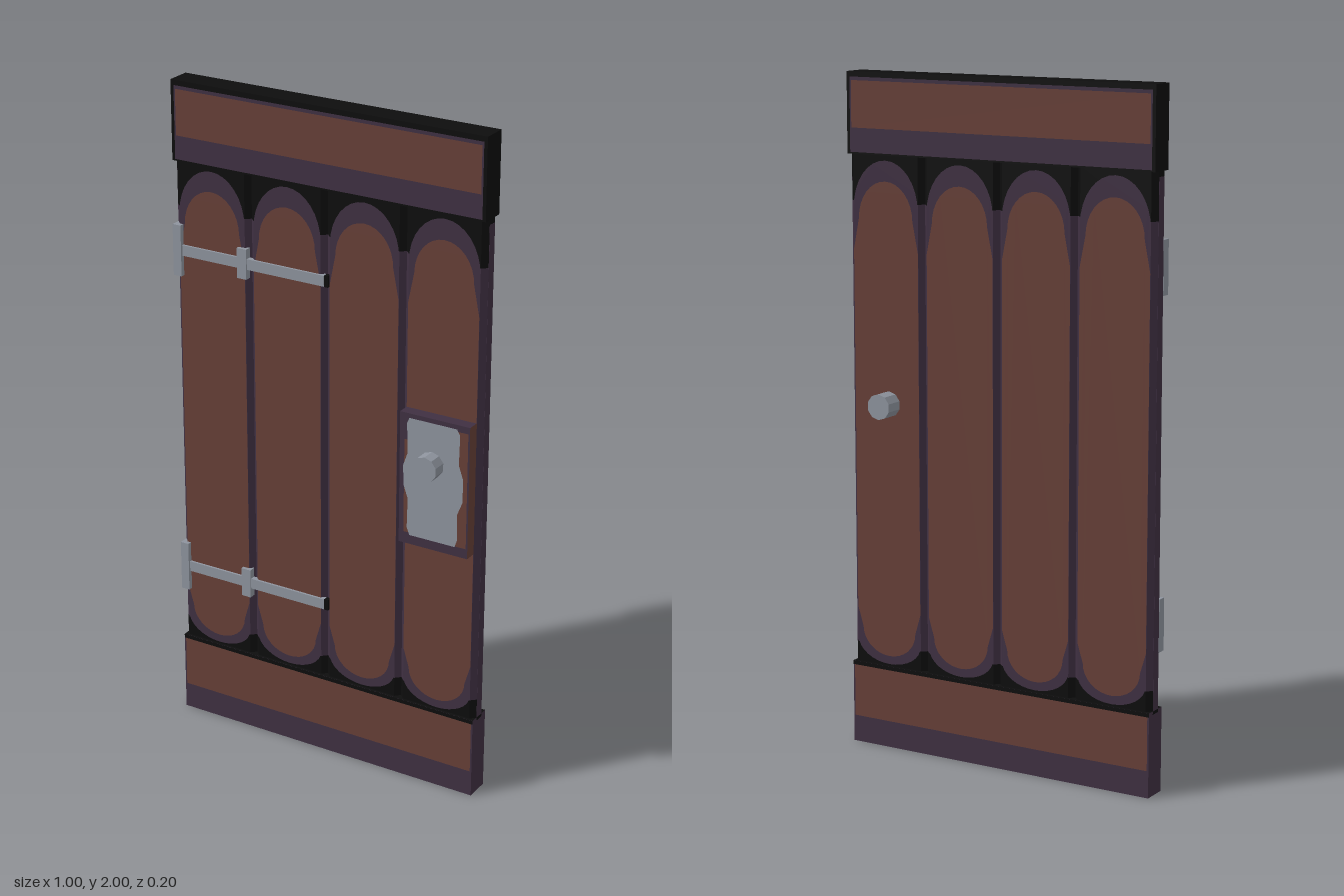
import * as THREE from 'three';

const mat = (name, color) => {
  const m = new THREE.MeshStandardMaterial({ color });
  m.name = name;
  return m;
};

export function createModel() {
  const brown = mat('wood brown', 0x663f37);
  const purple = mat('dark wood purple', 0x3f3042);
  const black = mat('shadow black', 0x0d0d0d);
  const grey = mat('iron grey', 0x8e949e);

  const door = new THREE.Group();
  door.name = 'door';
  const ZC = -0.0115; // middle of the door's thickness
  const PLANK = 0.03, RAIL = 0.0375; // half depths

  const add = (parent, name, geo, material) => {
    const m = new THREE.Mesh(geo, material);
    m.name = name;
    parent.add(m);
    return m;
  };
  // Box given by its limits
  const box = (parent, name, x0, x1, y0, y1, z0, z1, material) => {
    const m = add(parent, name, new THREE.BoxGeometry(x1 - x0, y1 - y0, z1 - z0), material);
    m.position.set((x0 + x1) / 2, (y0 + y1) / 2, (z0 + z1) / 2);
    return m;
  };
  const flat = (parent, name, pts, z, material) => {
    const shape = new THREE.Shape(pts.map(([x, y]) => new THREE.Vector2(x, y)));
    const m = add(parent, name, new THREE.ShapeGeometry(shape), material);
    m.position.z = z;
    return m;
  };
  const rect = (x0, x1, y0, y1) => [[x0, y0], [x1, y0], [x1, y1], [x0, y1]];

  const body = new THREE.Group();
  body.name = 'doorBody';
  body.position.z = ZC;
  door.add(body);
  const faces = new THREE.Group();
  faces.name = 'frontFaces';

  // Chamfered plank section, extruded upwards
  const section = new THREE.Shape([
    [-0.125, -0.015], [-0.11, -PLANK], [0.11, -PLANK], [0.125, -0.015],
    [0.125, 0.015], [0.11, PLANK], [-0.11, PLANK], [-0.125, 0.015],
  ].map(([x, y]) => new THREE.Vector2(x, y)));

  // Outline with a half ellipse at each end
  const capsule = (cx, w, yb, hb, yt, ht, shoulder = 0) => {
    const pts = [];
    const wi = w - shoulder;
    for (let i = 0; i <= 16; i++) {
      const a = Math.PI * i / 16;
      pts.push([cx + wi * Math.cos(a), yt - ht + ht * Math.sin(a)]);
    }
    if (shoulder) pts.push([cx - w, yt - ht - 0.09], [cx - w, yb + hb + 0.06]);
    for (let i = 0; i <= 16; i++) {
      const a = Math.PI * (1 + i / 16);
      pts.push([cx + wi * Math.cos(a), yb + hb + hb * Math.sin(a)]);
    }
    if (shoulder) pts.push([cx + w, yb + hb + 0.06], [cx + w, yt - ht - 0.09]);
    return pts;
  };

  // Four planks with dark ends and painted faces
  for (let i = 0; i < 4; i++) {
    const cx = -0.375 + i * 0.25;
    for (const [y0, y1, m] of [[0.24, 0.31, black], [0.31, 1.63, purple], [1.63, 1.77, black]]) {
      const g = new THREE.ExtrudeGeometry(section, { depth: y1 - y0, bevelEnabled: false });
      g.rotateX(-Math.PI / 2);
      add(body, 'plank', g, m).position.set(cx, y0, 0);
    }
    flat(faces, 'plankRim', capsule(cx, 0.11, 0.255, 0.07, 1.75, 0.14), PLANK + 0.0008, purple);
    flat(faces, 'plankFace', capsule(cx, 0.11, 0.28, 0.08, 1.69, 0.11, 0.018), PLANK + 0.0016, brown);
  }
  for (const s of [-1, 1])
    box(body, 'plankEdge', s * 0.4995 - 0.001, s * 0.4995 + 0.001, 0.25, 1.75, -0.0145, 0.0145, purple);

  // Top and bottom rails
  box(body, 'topRail', -0.5, 0.5, 1.765, 2, -RAIL, RAIL, black);
  flat(faces, 'topRailRim', rect(-0.49, 0.49, 1.77, 1.985), RAIL + 0.0005, purple);
  flat(faces, 'topRailFace', rect(-0.485, 0.485, 1.84, 1.975), RAIL + 0.001, brown);
  box(body, 'bottomRail', -0.5, 0.5, 0, 0.25, -RAIL, RAIL,
    [purple, purple, black, purple, purple, purple]);
  flat(faces, 'bottomRailFace', rect(-0.495, 0.495, 0.08, 0.238), RAIL + 0.0005, brown);
  flat(faces, 'bottomRailTopLine', rect(-0.5, 0.5, 0.238, 0.25), RAIL + 0.0005, black);

  // Same painted faces on the back
  const back = faces.clone();
  back.name = 'backFaces';
  back.rotation.y = Math.PI;
  body.add(faces, back);

  // Hinges
  for (const y of [0.49, 1.5]) {
    const hinge = new THREE.Group();
    hinge.name = 'hinge';
    hinge.position.y = y;
    door.add(hinge);
    box(hinge, 'hingePlate', -0.5, -0.473, -0.077, 0.077, 0.005, 0.034, grey);
    box(hinge, 'hingeStrap', -0.48, 0, -0.016, 0.016, 0.01, 0.027, grey);
    box(hinge, 'hingeClasp', -0.285, -0.254, -0.045, 0.045, 0.01, 0.031, grey);
    box(hinge, 'hingeTip', 0, 0.013, -0.017, 0.017, 0.01, 0.026, black);
  }

  // Lock box with iron plate
  const lock = new THREE.Group();
  lock.name = 'lock';
  door.add(lock);
  box(lock, 'lockBox', 0.265, 0.485, 0.78, 1.18, 0.01, 0.056,
    [brown, brown, purple, purple, purple, purple]);
  flat(lock, 'lockWoodRight', rect(0.44, 0.48, 0.81, 1.16), 0.0565, brown);
  flat(lock, 'lockWoodLeft', rect(0.28, 0.32, 0.815, 1.1), 0.0565, brown);
  flat(lock, 'lockPlate', [
    [0.3, 0.808], [0.445, 0.808], [0.452, 0.83], [0.451, 0.91], [0.467, 0.95], [0.467, 1.02],
    [0.453, 1.06], [0.455, 1.15], [0.445, 1.167], [0.295, 1.167], [0.288, 1.15], [0.291, 1.06],
    [0.277, 1.02], [0.279, 0.96], [0.293, 0.92], [0.291, 0.83],
  ], 0.057, grey);

  // Knobs on both sides, on one spindle
  const knob = add(door, 'knob', new THREE.CylinderGeometry(0.038, 0.038, 0.2, 10).toNonIndexed(), grey);
  knob.geometry.computeVertexNormals();
  knob.rotation.x = Math.PI / 2;
  knob.position.set(0.368, 1.043, 0);

  return door;
}
